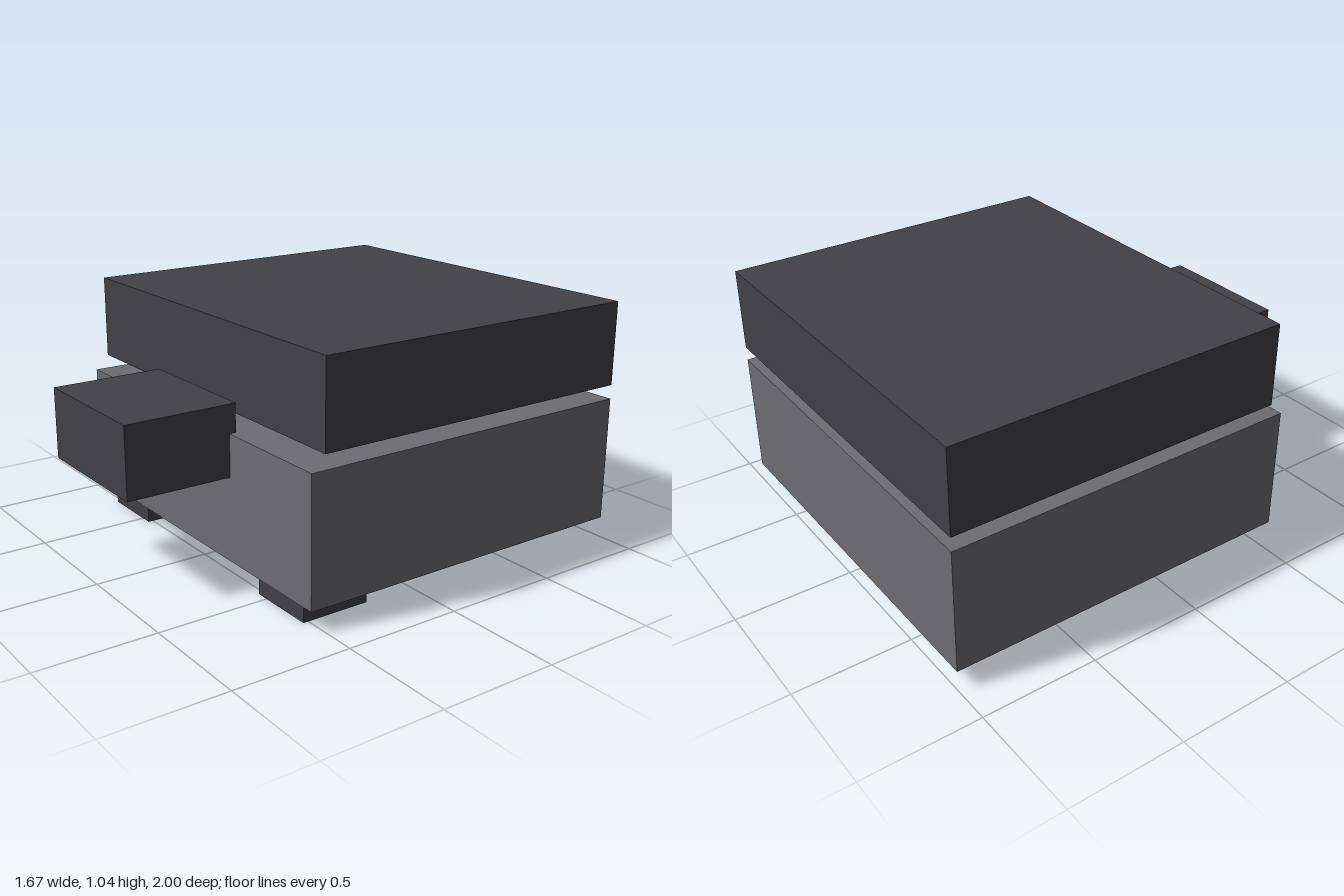
import * as THREE from 'three';

// Every dimension is a whole number of small grid cells
const CELL = 2 / 67;

export function createModel() {
  const model = new THREE.Group();
  model.name = 'blockModel';

  const darkGrey = new THREE.MeshStandardMaterial({ color: 0x424146 });
  darkGrey.name = 'dark grey';
  const midGrey = new THREE.MeshStandardMaterial({ color: 0x6e6d72 });
  midGrey.name = 'mid grey';

  // Box given by its centre x, width, bottom and top, and back and front (in cells)
  function block(name, material, x, width, [bottom, top], [back, front]) {
    const geometry = new THREE.BoxGeometry(width * CELL, (top - bottom) * CELL, (front - back) * CELL);
    const mesh = new THREE.Mesh(geometry, material);
    mesh.name = name;
    mesh.position.set(x * CELL, (bottom + top) / 2 * CELL, (back + front) / 2 * CELL);
    model.add(mesh);
  }

  // Lower body, and the upper slab floating just above it
  block('body', midGrey, 0, 56, [3, 21], [-33.5, 18.5]);
  block('upperSlab', darkGrey, 0, 56, [23, 35], [-33.5, 16.5]);

  // Front block, sunk slightly into the body
  block('frontBlock', darkGrey, 0, 20, [15, 25], [17.5, 33.5]);

  // Pair of feet under the front edge
  for (const [name, side] of [['leftFoot', 1], ['rightFoot', -1]]) {
    block(name, darkGrey, side * 20, 10, [0, 3], [7.5, 17.5]);
  }

  return model;
}
